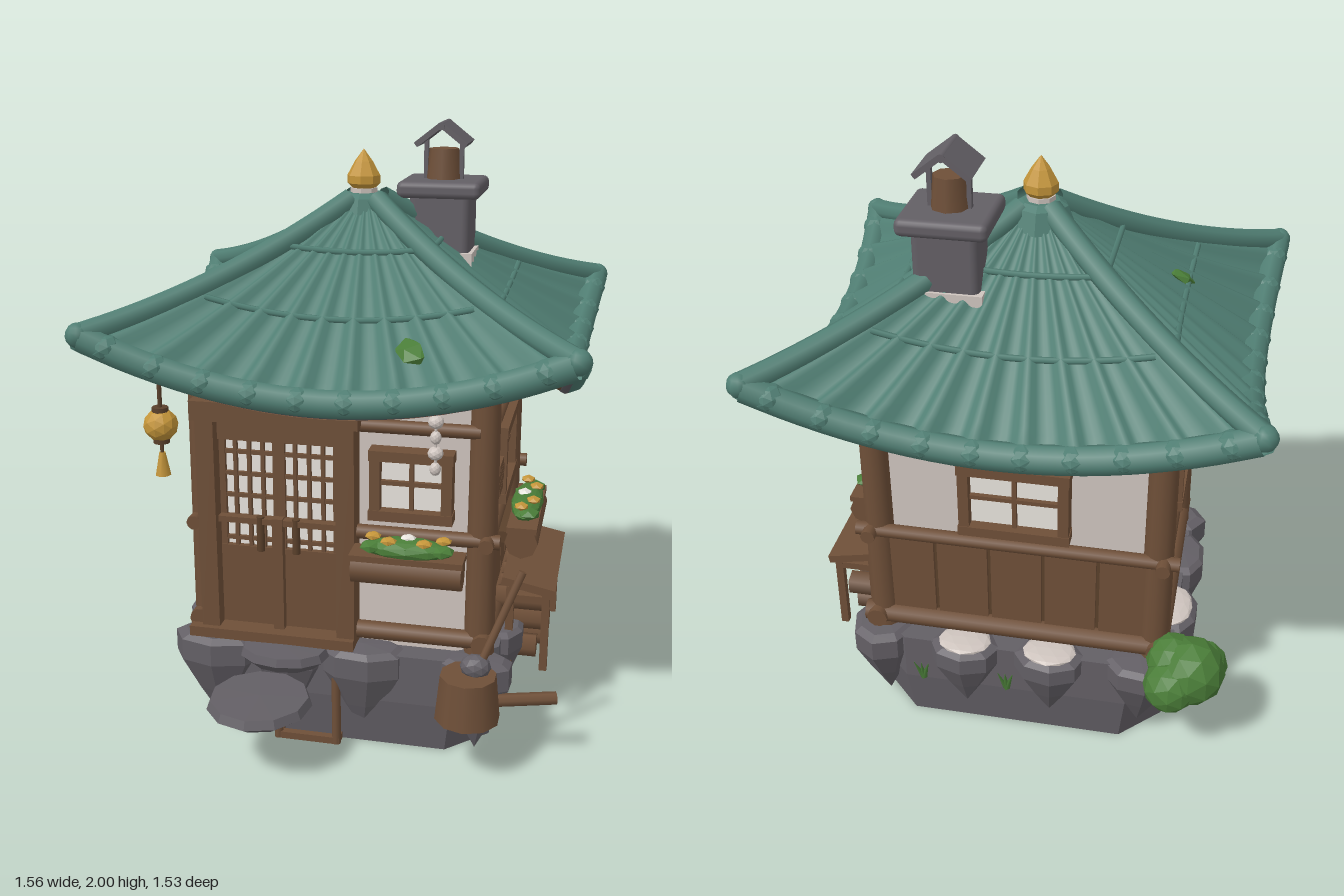
import * as THREE from 'three';
import { ParametricGeometry } from 'three/addons/geometries/ParametricGeometry.js';
import { RoundedBoxGeometry } from 'three/addons/geometries/RoundedBoxGeometry.js';

const V = (x, y, z) => new THREE.Vector3(x, y, z);
const CZ = -0.067; // house centre in z

export function createModel() {
  const root = new THREE.Group();
  root.name = 'cottage';
  const M = {};
  const colours = { tile: 0x507e73, wood: 0x6e4f38, darkWood: 0x5a402b, stone: 0x635f65, plaster: 0xcec4be,
    glass: 0xf0ece5, gold: 0xc4953a, leaf: 0x4a7d38 };
  for (const [name, color] of Object.entries(colours)) {
    M[name] = new THREE.MeshStandardMaterial({ color });
    M[name].name = name;
  }
  M.tile.side = M.wood.side = THREE.DoubleSide;

  // ---- helpers ----
  const group = (name, parent = root) => {
    const g = new THREE.Group();
    g.name = name;
    parent.add(g);
    return g;
  };
  const add = (p, name, geo, mat, x = 0, y = 0, z = 0) => {
    const m = new THREE.Mesh(geo, M[mat]);
    m.name = name;
    m.position.set(x, y, z);
    p.add(m);
    return m;
  };
  const flat = (geo) => {
    const g = geo.index ? geo.toNonIndexed() : geo;
    g.computeVertexNormals();
    return g;
  };
  const box = (p, name, mat, x, y, z, w, h, d) => add(p, name, new THREE.BoxGeometry(w, h, d), mat, x, y, z);
  const rod = (p, name, mat, a, b, r0, r1 = r0, sides = 10) => {
    const d = b.clone().sub(a);
    const m = add(p, name, new THREE.CylinderGeometry(r1, r0, d.length(), sides), mat);
    m.position.copy(a).addScaledVector(d, 0.5);
    m.quaternion.setFromUnitVectors(V(0, 1, 0), d.normalize());
    return m;
  };
  const blob = (p, name, mat, x, y, z, sx, sy = sx, sz = sx, detail = 1) => {
    const m = add(p, name, flat(new THREE.IcosahedronGeometry(1, detail)), mat, x, y, z);
    m.scale.set(sx, sy, sz);
    return m;
  };
  const lathe = (p, name, mat, pts, sides, x, y, z) =>
    add(p, name, flat(new THREE.LatheGeometry(pts.map((q) => new THREE.Vector2(...q)), sides)), mat, x, y, z);

  // ---- stone base: chamfered block flaring upward ----
  const base = group('stoneBase');
  const [bx, bz, c] = [0.52, 0.455, 0.14];
  const outline = new THREE.Shape([[-bx + c, -bz], [bx - c, -bz], [bx, -bz + c], [bx, bz - c], [bx - c, bz],
    [-bx + c, bz], [-bx, bz - c], [-bx, -bz + c]].map((q) => new THREE.Vector2(...q)));
  const baseGeo = new THREE.ExtrudeGeometry(outline, { depth: 0.34, bevelEnabled: false, steps: 2 }).rotateX(-Math.PI / 2);
  const bp = baseGeo.attributes.position;
  for (let i = 0; i < bp.count; i++) {
    const s = 0.95 + 0.05 * Math.min(1, bp.getY(i) / 0.17);
    bp.setXYZ(i, bp.getX(i) * s, bp.getY(i), bp.getZ(i) * s);
  }
  add(base, 'foundation', flat(baseGeo), 'stone', 0, 0, CZ);

  // wedge rocks around the rim: x, z, half width, half depth, height, pale top
  const rocks = [[-0.42, 0.34, 0.155, 0.1, 0.34], [-0.17, 0.37, 0.12, 0.07, 0.3], [0.08, 0.35, 0.15, 0.09, 0.33],
    [0.46, 0.36, 0.12, 0.08, 0.33], [0.51, 0.08, 0.08, 0.12, 0.26], [0.51, -0.15, 0.08, 0.12, 0.32],
    [0.47, -0.44, 0.11, 0.13, 0.33], [0.17, -0.51, 0.12, 0.09, 0.27, 1], [-0.12, -0.51, 0.12, 0.09, 0.26, 1],
    [-0.42, -0.48, 0.12, 0.1, 0.28], [-0.51, -0.2, 0.08, 0.13, 0.29, 1], [-0.51, 0.11, 0.08, 0.13, 0.3]];
  rocks.forEach(([x, z, w, d, h, pale], i) => {
    const m = lathe(base, 'rock', 'stone', [[0, -1], [0.55, -0.62], [1, -0.27], [1, -0.05], [0.78, 0], [0, 0.02]], 8, x, 0.35, z);
    m.geometry.rotateY(i * 0.9);
    m.scale.set(w, h, d);
    if (pale) blob(base, 'paleTop', 'plaster', x, 0.353, z, w * 0.75, 0.015, d * 0.8);
    if (i === 7 || i === 8) for (const k of [-1, 0, 1])
      rod(base, 'grass', 'leaf', V(x + 0.14, 0.2, z - 0.04), V(x + 0.14 + k * 0.025, 0.28, z - 0.06), 0.012, 0.001, 4);
  });

  // ---- entry steps ----
  const steps = group('entrySteps');
  for (const [x, y, z, r, d] of [[-0.205, 0.235, 0.595, 0.17, 0.17], [-0.17, 0.325, 0.42, 0.15, 0.1]]) {
    const m = lathe(steps, 'stepStone', 'stone', [[0, -0.04], [0.75, -0.03], [1, 0], [0.93, 0.028], [0, 0.03]], 11, x, y, z);
    m.scale.set(r, 1, d);
  }
  for (const x of [-0.2, 0]) {
    rod(steps, 'stepPost', 'wood', V(x, 0, 0.4), V(x, 0.3, 0.4), 0.015);
    box(steps, 'stepRail', 'wood', x, 0.012, 0.36, 0.025, 0.024, 0.09);
  }
  box(steps, 'stepBar', 'wood', -0.1, 0.012, 0.4, 0.22, 0.024, 0.025);

  // ---- walls, posts and beams ----
  const house = group('house');
  box(house, 'plasterWalls', 'plaster', 0, 0.86, CZ, 0.9, 1.04, 0.75);
  for (const x of [-0.46, 0.46]) for (const z of [0.31, -0.44])
    rod(house, 'cornerPost', 'wood', V(x, 0.34, z), V(x, 1.38, z), 0.05, 0.045, 12);

  const windowAt = (p, x, y, w, h) => {
    const g = group('window', p);
    g.position.set(x, y, 0);
    box(g, 'windowGlass', 'glass', 0, 0, 0.012, w, h, 0.024);
    for (const s of [-1, 1]) {
      box(g, 'windowStile', 'wood', s * w / 2, 0, 0.03, 0.034, h + 0.034, 0.06);
      box(g, 'windowRail', 'wood', 0, s * h / 2, 0.03, w + 0.04, 0.034, 0.065);
    }
    box(g, 'mullion', 'wood', 0, 0, 0.025, 0.014, h, 0.03);
    box(g, 'crossBar', 'wood', 0, 0.005, 0.025, w, 0.014, 0.03);
  };
  const planter = (p, x, w, z) => {
    const g = group('planter', p);
    g.position.set(x, 0.67, z);
    rod(g, 'trough', 'wood', V(-w / 2, 0, 0), V(w / 2, 0, 0), 0.055, 0.055, 8);
    box(g, 'troughRim', 'wood', 0, 0.045, 0, w + 0.01, 0.02, 0.1);
    box(g, 'bracket', 'darkWood', 0, 0, -z / 2, w * 0.8, 0.04, z);
    blob(g, 'foliage', 'leaf', 0, 0.072, 0, w * 0.41, 0.035, 0.055);
    for (let i = 0; i < 5; i++) {
      const u = (i - 2) * w * 0.16;
      blob(g, 'leafTuft', 'leaf', u, 0.078, i % 2 ? -0.015 : 0.015, 0.04, 0.02, 0.04, 0);
      blob(g, 'flower', i === 2 ? 'glass' : 'gold', u, 0.103, i % 2 ? 0.025 : -0.01, 0.028, 0.013, 0.026, 0);
    }
  };

  // each wall group: local x runs along the wall, local z points outward
  const wall = (name, turn, dist) => {
    const g = group(name, house);
    g.rotation.y = turn * Math.PI / 2;
    g.position.set(Math.sin(g.rotation.y) * dist, 0, CZ + Math.cos(g.rotation.y) * dist);
    return g;
  };
  const sides = [['leftWall', 1, 0.45, 0.375], ['backWall', 2, 0.375, 0.45], ['rightWall', 3, 0.45, 0.375]].map(([name, k, d, half]) => {
    const g = wall(name, k, d);
    windowAt(g, 0, 0.925, 0.32, 0.23);
    const n = 5, bw = half * 2 / n;
    for (let i = 0; i < n; i++) box(g, 'wainscotBoard', 'wood', (i - 2) * bw, 0.56, 0.012, bw - 0.012, 0.34, 0.03);
    box(g, 'wainscotBack', 'darkWood', 0, 0.56, 0.005, half * 2, 0.36, 0.012);
    rod(g, 'waistBeam', 'wood', V(-half - 0.08, 0.75, 0.03), V(half + 0.08, 0.75, 0.03), 0.024);
    rod(g, 'sillBeam', 'wood', V(-half - 0.07, 0.4, 0.025), V(half + 0.07, 0.4, 0.025), 0.035);
    rod(g, 'windowHead', 'wood', V(-0.29, 1.11, 0.03), V(0.29, 1.11, 0.03), 0.02);
    return g;
  });
  planter(sides[0], 0, 0.42, 0.12);

  // plank plaque on the left wall
  for (let i = 0; i < 4; i++) box(sides[0], 'plaquePlank', 'wood', -0.255, 0.875 + i * 0.027, 0.04, i % 3 ? 0.155 : 0.11, 0.025, 0.025);

  // ---- front wall with sliding doors ----
  const front = wall('frontWall', 0, 0.375);
  windowAt(front, 0.235, 0.92, 0.23, 0.2);
  planter(front, 0.24, 0.35, 0.12);
  rod(front, 'windowHead', 'wood', V(0.05, 1.11, 0.03), V(0.45, 1.11, 0.03), 0.022);
  rod(front, 'waistBeam', 'wood', V(0.05, 0.75, 0.03), V(0.52, 0.75, 0.03), 0.024);
  rod(front, 'sillBeam', 'wood', V(0.05, 0.4, 0.025), V(0.5, 0.4, 0.025), 0.03);
  const door = group('slidingDoors', front);
  box(door, 'doorLintel', 'wood', -0.2, 1.14, 0.05, 0.55, 0.065, 0.09);
  box(door, 'doorSill', 'wood', -0.22, 0.37, 0.05, 0.56, 0.035, 0.11);
  for (const x of [-0.43, 0.03]) box(door, 'doorPost', 'wood', x, 0.74, 0.045, 0.06, 0.76, 0.08);
  box(door, 'paperScreen', 'glass', -0.2, 0.85, 0.008, 0.4, 0.4, 0.016);
  box(door, 'headRail', 'wood', -0.2, 1.072, 0.025, 0.42, 0.075, 0.04);
  box(door, 'centreStile', 'wood', -0.2, 0.57, 0.05, 0.035, 0.42, 0.03);
  box(door, 'doorRail', 'wood', -0.2, 0.765, 0.045, 0.42, 0.02, 0.03);
  for (const x of [-0.3, -0.1]) {
    box(door, 'doorPanel', 'wood', x, 0.52, 0.018, 0.2, 0.29, 0.035);
    for (let i = 0; i < 5; i++) box(door, 'latticeBar', 'wood', x + (i - 2) * 0.046, 0.85, 0.022, i % 4 ? 0.012 : 0.024, 0.38, 0.02);
    rod(door, 'doorPull', 'darkWood', V(x * 0.6 - 0.08, 0.66, 0.05), V(x * 0.6 - 0.08, 0.78, 0.05), 0.013);
  }
  for (let i = 0; i < 5; i++) box(door, 'latticeRail', 'wood', -0.2, 0.69 + i * 0.075, 0.02, 0.4, 0.013, 0.018);

  // ---- roof: four sagging sides, k = side, u across, t from peak to eave ----
  const roof = group('roof');
  const RIBS = 10;
  const roofPoint = (k, u, t, lift = 0) => {
    const [hw, hd] = k % 2 ? [0.655, 0.735] : [0.735, 0.655];
    const sag = 1 - u * u, a = k * Math.PI / 2;
    const x = u * t * hw, z = t * hd * (1 - 0.06 * sag * t);
    const y = 1.785 - 0.56 * t + 0.185 * t * t - 0.17 * t * t * sag + lift;
    return V(x * Math.cos(a) + z * Math.sin(a), y, CZ - x * Math.sin(a) + z * Math.cos(a));
  };
  const tube = (p, name, mat, fn, r, seg = 24, rad = 8) => {
    const pts = Array.from({ length: 13 }, (_, i) => fn(i / 12));
    return add(p, name, new THREE.TubeGeometry(new THREE.CatmullRomCurve3(pts), seg, r, rad), mat);
  };
  const surface = (fn, slices) => {
    const g = new ParametricGeometry((a, b, out) => out.copy(fn(a * 2 - 1, b)), slices, 12);
    g.computeVertexNormals();
    return g;
  };
  for (let k = 0; k < 4; k++) {
    const g = group('roofSide', roof);
    // ribbed tiles fanning out from the peak
    add(g, 'tileField', surface((u, b) => {
      const t = 0.06 + 0.94 * b, wave = Math.max(-0.3, -Math.cos(u * RIBS * Math.PI));
      return roofPoint(k, u, t, 0.01 + 0.03 * t * wave * (1 - u ** 8));
    }, RIBS * 8), 'tile');
    // flatter boarding from the eave in to the wall head
    add(g, 'soffit', surface((u, b) => {
      const t = 0.5 + 0.49 * b, q = roofPoint(k, u, t);
      q.y = THREE.MathUtils.lerp(1.325, roofPoint(k, u, 1, -0.055).y, b);
      return q;
    }, 16), 'wood');
    tube(g, 'eaveRoll', 'tile', (s) => roofPoint(k, s * 2 - 1, 1, -0.005), 0.045);
    tube(g, 'eaveBoard', 'stone', (s) => roofPoint(k, (s * 2 - 1) * 0.98, 0.985, -0.042), 0.02);
    for (const t of [0.33, 0.65]) tube(g, 'tileCourse', 'tile', (s) => roofPoint(k, (s * 2 - 1) * 0.88, t, 0.016), 0.01, 24, 6);
    for (let i = 0; i < RIBS; i++) {
      const q = roofPoint(k, (i * 2 + 1 - RIBS) / RIBS, 1);
      blob(g, 'tileEnd', 'tile', q.x, q.y, q.z, 0.05, 0.042, 0.05);
    }
    // corner ridge with a rounded tip
    tube(g, 'ridge', 'tile', (s) => roofPoint(k, 1, 0.06 + 0.95 * s, 0.008), 0.038);
    const tip = roofPoint(k, 1, 1.01, 0.008);
    add(g, 'ridgeTip', new THREE.SphereGeometry(0.039, 10, 8), 'tile', tip.x, tip.y, tip.z);
  }
  lathe(roof, 'peakCollar', 'tile', [[0.11, 1.7], [0.085, 1.765], [0.06, 1.78], [0, 1.78]], 8, -0.01, 0, CZ - 0.01);
  lathe(roof, 'finialRing', 'plaster', [[0.045, 1.775], [0.045, 1.795], [0, 1.795]], 8, -0.01, 0, CZ - 0.01);
  lathe(roof, 'finial', 'gold', [[0.03, 1.785], [0.055, 1.81], [0.055, 1.835], [0.03, 1.88], [0, 1.92]], 8, -0.01, 0, CZ - 0.01);

  // fallen leaves on the tiles
  for (const [x, y, z, tx, tz] of [[-0.43, 1.465, 0.13, 0, 0.5], [0.25, 1.38, 0.43, 0.45, 0]]) {
    const m = blob(roof, 'fallenLeaf', 'leaf', x, y, z, 0.055, 0.022, 0.065, 0);
    m.rotation.set(tx, 0.6, tz);
  }

  // ---- chimney with a small vent roof ----
  const chimney = group('chimney');
  chimney.position.set(0.228, 0, -0.255);
  box(chimney, 'flashing', 'plaster', 0, 1.54, 0, 0.23, 0.07, 0.22);
  add(chimney, 'stack', new RoundedBoxGeometry(0.205, 0.29, 0.2, 2, 0.025), 'stone', 0, 1.66, 0);
  add(chimney, 'cap', new RoundedBoxGeometry(0.28, 0.055, 0.27, 2, 0.02), 'stone', 0, 1.783, 0);
  rod(chimney, 'flue', 'wood', V(0, 1.8, 0), V(0, 1.91, 0), 0.062, 0.05, 8);
  for (const s of [-1, 1]) {
    box(chimney, 'ventPost', 'stone', s * 0.06, 1.87, 0, 0.014, 0.14, 0.02);
    const slope = box(chimney, 'ventRoof', 'stone', s * 0.043, 1.958, 0, 0.105, 0.018, 0.17);
    slope.rotation.z = -s * 0.66;
  }
  rod(chimney, 'ventRidge', 'stone', V(0, 1.987, -0.088), V(0, 1.987, 0.088), 0.013);

  // ---- bench with stacked firewood on the left side ----
  const bench = group('firewoodBench');
  const top = box(bench, 'benchTop', 'wood', 0.6, 0.52, -0.1, 0.18, 0.028, 0.52);
  top.rotation.z = -0.2;
  for (const z of [0.13, -0.33]) {
    for (const x of [0.54, 0.66]) box(bench, 'benchLeg', 'wood', x, 0.36, z, 0.026, 0.3, 0.026);
    box(bench, 'benchRail', 'wood', 0.6, 0.47, z, 0.14, 0.025, 0.025);
  }
  for (let r = 0; r < 3; r++) for (let i = 0; i < 4; i++) {
    const z = 0.055 - i * 0.1 - (r % 2) * 0.035, y = 0.26 + r * 0.088;
    rod(bench, 'log', 'wood', V(0.49, y, z), V(0.63 + ((i + r) % 3) * 0.015, y, z), 0.042, 0.042, 5);
  }

  // ---- bucket, scoop and stray log ----
  const bucket = group('bucket');
  rod(bucket, 'bucketBody', 'wood', V(0.45, 0.215, 0.5), V(0.45, 0.365, 0.5), 0.105, 0.09, 10);
  rod(bucket, 'scoopHandle', 'wood', V(0.48, 0.38, 0.48), V(0.6, 0.69, 0.41), 0.013);
  blob(bucket, 'scoopHead', 'stone', 0.47, 0.385, 0.48, 0.05, 0.04, 0.04);
  rod(bucket, 'strayLog', 'wood', V(0.52, 0.235, 0.42), V(0.72, 0.235, 0.36), 0.022, 0.022, 7);

  // ---- hanging lantern and bead charm ----
  const lantern = group('lantern');
  lantern.position.set(-0.53, 0, 0.5);
  rod(lantern, 'lanternCord', 'darkWood', V(0, 1.16, 0), V(0, 1.3, 0), 0.007);
  blob(lantern, 'lanternBody', 'gold', 0, 1.12, 0, 0.055, 0.052);
  for (const y of [1.07, 1.17]) rod(lantern, 'lanternCap', 'darkWood', V(0, y - 0.008, 0), V(0, y + 0.008, 0), 0.026);
  rod(lantern, 'tasselCord', 'darkWood', V(0, 1.02, 0), V(0, 1.07, 0), 0.006);
  rod(lantern, 'tassel', 'gold', V(0, 0.955, 0), V(0, 1.03, 0), 0.025, 0.01, 7);
  const charm = group('beadCharm');
  rod(charm, 'charmCord', 'plaster', V(0.325, 1, 0.445), V(0.325, 1.24, 0.445), 0.005, 0.005, 6);
  for (let i = 0; i < 4; i++) blob(charm, 'bead', 'plaster', 0.325, 1.02 + i * 0.05, 0.445, i % 2 ? 0.025 : 0.018, 0.022);

  // ---- bush ----
  const bush = group('bush');
  for (const [x, y, z, r] of [[-0.59, 0.36, -0.52, 0.115], [-0.53, 0.33, -0.57, 0.09], [-0.63, 0.34, -0.46, 0.08], [-0.53, 0.38, -0.5, 0.09]])
    blob(bush, 'bushClump', 'leaf', x, y, z, r);

  return root;
}
